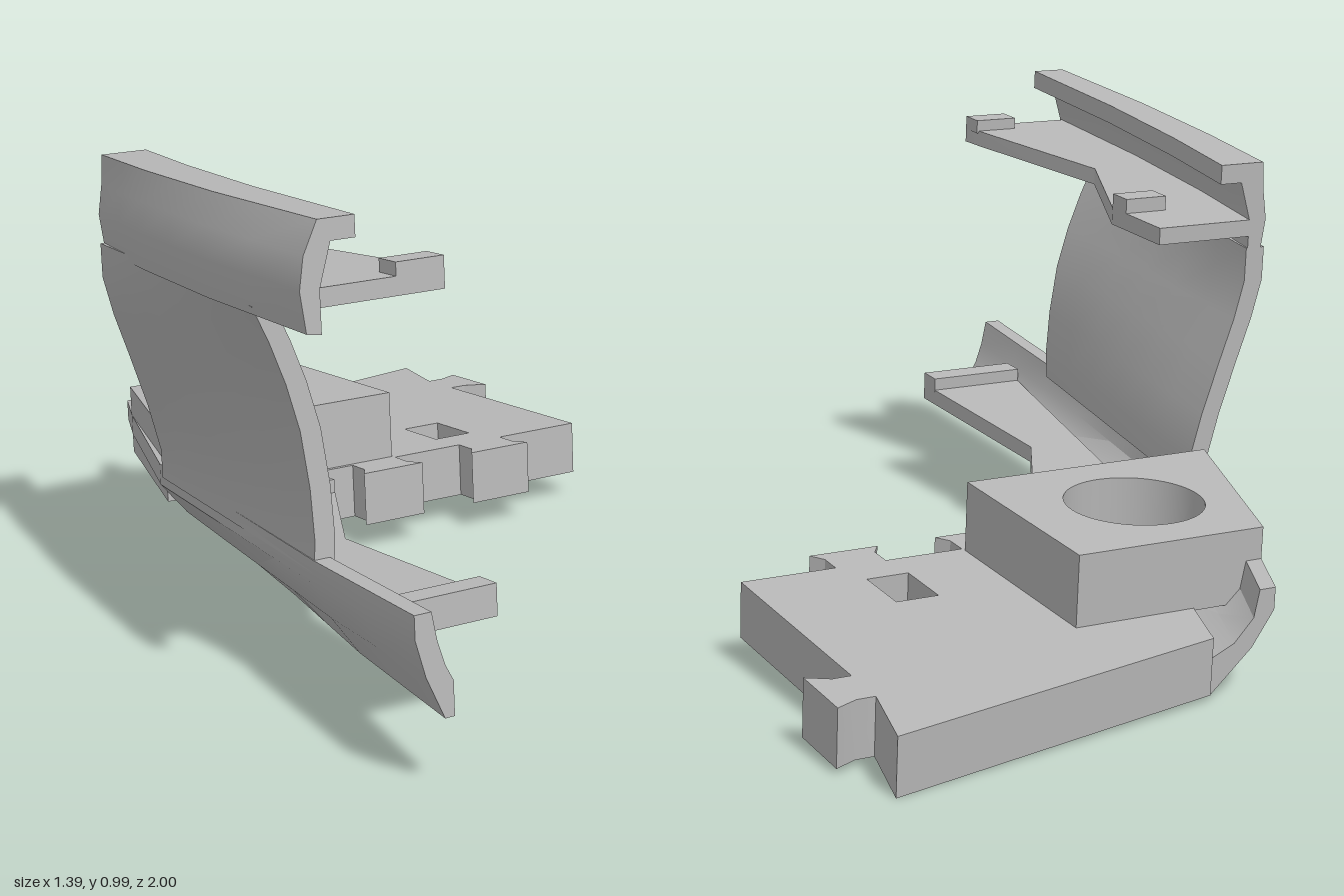
import * as THREE from 'three';
import { toCreasedNormals } from 'three/addons/utils/BufferGeometryUtils.js';

// Piecewise linear lookup in a list of [position, value] pairs
function lookup(table, t) {
  let i = 0;
  while (i < table.length - 2 && t > table[i + 1][0]) i++;
  const [t0, v0] = table[i], [t1, v1] = table[i + 1];
  return THREE.MathUtils.lerp(v0, v1, (t - t0) / (t1 - t0));
}

// Solid through counter-clockwise [x, y] sections placed at rising z stations
function loft(stations, section) {
  const loops = stations.map(section), n = loops[0].length, pos = [], index = [];
  loops.forEach((loop, i) => loop.forEach(([x, y]) => pos.push(x, y, stations[i])));
  for (let i = 0; i < loops.length - 1; i++) {
    for (let j = 0; j < n; j++) {
      const a = i * n + j, b = i * n + (j + 1) % n, c = b + n, d = a + n;
      index.push(a, b, d, b, c, d);
    }
  }
  const cap = (i) => THREE.ShapeUtils.triangulateShape(
    loops[i].map(([x, y]) => new THREE.Vector2(x, y)), []);
  const last = loops.length - 1;
  cap(0).forEach(([a, b, c]) => index.push(c, b, a));
  cap(last).forEach((f) => index.push(...f.map((k) => k + last * n)));
  const g = new THREE.BufferGeometry();
  g.setAttribute('position', new THREE.Float32BufferAttribute(pos, 3));
  g.setIndex(index);
  return toCreasedNormals(g, 0.5);
}

// Flat slab from an [x, z] outline between two heights
function slab(outline, y0, y1, holes = []) {
  const shape = new THREE.Shape(outline.map(([x, z]) => new THREE.Vector2(x, -z)));
  shape.holes.push(...holes);
  const g = new THREE.ExtrudeGeometry(shape, { depth: y1 - y0, bevelEnabled: false, curveSegments: 32 });
  g.rotateX(-Math.PI / 2).translate(0, y0, 0);
  return toCreasedNormals(g, 0.5);
}

const rect = (x0, x1, z0, z1) => [[x0, z0], [x1, z0], [x1, z1], [x0, z1]];
const roundHole = (x, z, r) => new THREE.Path().absarc(x, -z, r, 0, Math.PI * 2, true);
const steps = (a, b, n) => Array.from({ length: n + 1 }, (_, i) => a + (b - a) * i / n);

export function createModel() {
  const model = new THREE.Group();
  const body = new THREE.Group();
  body.name = 'tiltedBracket';
  body.rotation.x = -0.072;
  body.position.z = 0.012;
  model.add(body);

  const grey = new THREE.MeshStandardMaterial({ color: 0xb8b8b8 });
  grey.name = 'plain grey';
  const add = (name, geometry) => {
    const mesh = new THREE.Mesh(geometry, grey);
    mesh.name = name;
    body.add(mesh);
  };

  // Base plate with dovetail tabs, a square slot and a small pin hole
  const frontTab = (x) => [
    [x - 0.055, -0.23], [x - 0.055, -0.18], [x - 0.075, -0.15],
    [x + 0.075, -0.15], [x + 0.055, -0.18], [x + 0.055, -0.23],
  ];
  const slot = new THREE.Path(rect(0.29, 0.38, -0.44, -0.31).map(([x, z]) => new THREE.Vector2(x, -z)));
  add('basePlate', slab([
    [-0.28, -0.23], ...frontTab(0.075), ...frontTab(0.355), [0.612, -0.23],
    [0.612, -0.73], [0.65, -0.73], [0.695, -0.705], [0.695, -0.85], [0.65, -0.83], [0.612, -0.83],
    [0.652, -0.998], [-0.085, -0.835],
  ], 0.07, 0.185, [slot, roundHole(0.075, -0.49, 0.013)]));

  // Raised block with the round socket
  add('socketBlock', slab([[-0.43, -0.24], [0.128, -0.24], [0.128, -0.69], [-0.28, -0.69]],
    0.18, 0.33, [roundHole(-0.125, -0.465, 0.14)]));

  // Lower rail: a curved trough running the full length of the outer side
  const lowerFoot = [[-0.83, -0.09], [-0.2, -0.29], [0.6, -0.48], [1, -0.555]];
  const lowerTop = [[-0.83, -0.22], [-0.69, -0.28], [-0.24, -0.445], [0.6, -0.57], [1, -0.61]];
  add('lowerRail', loft([-0.83, -0.69, -0.45, -0.24, 0, 0.2, 0.4, 0.6, 0.8, 1], (z) => {
    const f = lookup(lowerFoot, z), t = lookup(lowerTop, z), m = f * 0.35 + t * 0.65;
    return [
      [f, 0.07], [f + 0.02, 0.07], [f + 0.02, 0.135], [m + 0.04, 0.165], [t + 0.045, 0.21],
      [t + 0.035, 0.265], [t, 0.265], [t, 0.22], [m, 0.15],
    ];
  }));

  // Upright wall: a thin curved sheet, leaning out towards the front
  const heights = [0.24, 0.3, 0.4, 0.51, 0.6, 0.68, 0.75];
  const wallRear = [-0.45, -0.45, -0.475, -0.51, -0.54, -0.56, -0.56];
  const wallFront = [-0.57, -0.565, -0.57, -0.585, -0.61, -0.64, -0.672];
  add('uprightWall', loft(steps(-0.22, 0.6, 6), (z) => {
    const outer = heights.map((h, i) =>
      [THREE.MathUtils.lerp(wallRear[i], wallFront[i], (z + 0.22) / 0.82), h]);
    return [...outer.map(([x, h]) => [x + 0.043, h]), ...outer.reverse()];
  }));

  // Upper rail with an overhanging lip
  const upperOuter = [[-0.22, -0.56], [0.05, -0.61], [0.4, -0.66], [0.82, -0.7]];
  add('upperRail', loft([-0.22, -0.08, 0.05, 0.22, 0.4, 0.6, 0.82], (z) => {
    const x = lookup(upperOuter, z), fold = lookup([[-0.22, 0.015], [0.82, 0.04]], z);
    return [
      [x + 0.01, 0.735], [x + 0.04, 0.73], [x + 0.04, 0.81], [x + 0.065, 0.89], [x + 0.115, 0.89],
      [x + 0.115, 0.93], [x + fold, 0.93], [x + 0.01, 0.87], [x, 0.81],
    ];
  }));

  // Shelves with a raised bar at each end
  add('lowerShelf', slab([
    [-0.14, -0.23], [-0.14, -0.04], [-0.31, 0.28], [-0.305, 0.8],
    [-0.54, 0.8], [-0.5, 0.6], [-0.39, 0.05], [-0.33, -0.23],
  ], 0.155, 0.19));
  add('lowerFrontBar', slab(rect(-0.53, -0.305, 0.745, 0.8), 0.185, 0.218));
  add('lowerRearBar', slab(rect(-0.32, -0.14, -0.095, -0.04), 0.185, 0.218));
  add('upperShelf', slab([
    [-0.305, -0.22], [-0.305, -0.03], [-0.46, 0.31], [-0.405, 0.75], [-0.4, 0.81],
    [-0.67, 0.81], [-0.63, 0.4], [-0.54, -0.22],
  ], 0.775, 0.81));
  add('upperFrontBar', slab(rect(-0.5, -0.4, 0.755, 0.81), 0.805, 0.835));
  add('upperRearBar', slab(rect(-0.4, -0.305, -0.085, -0.03), 0.805, 0.84));

  return model;
}
